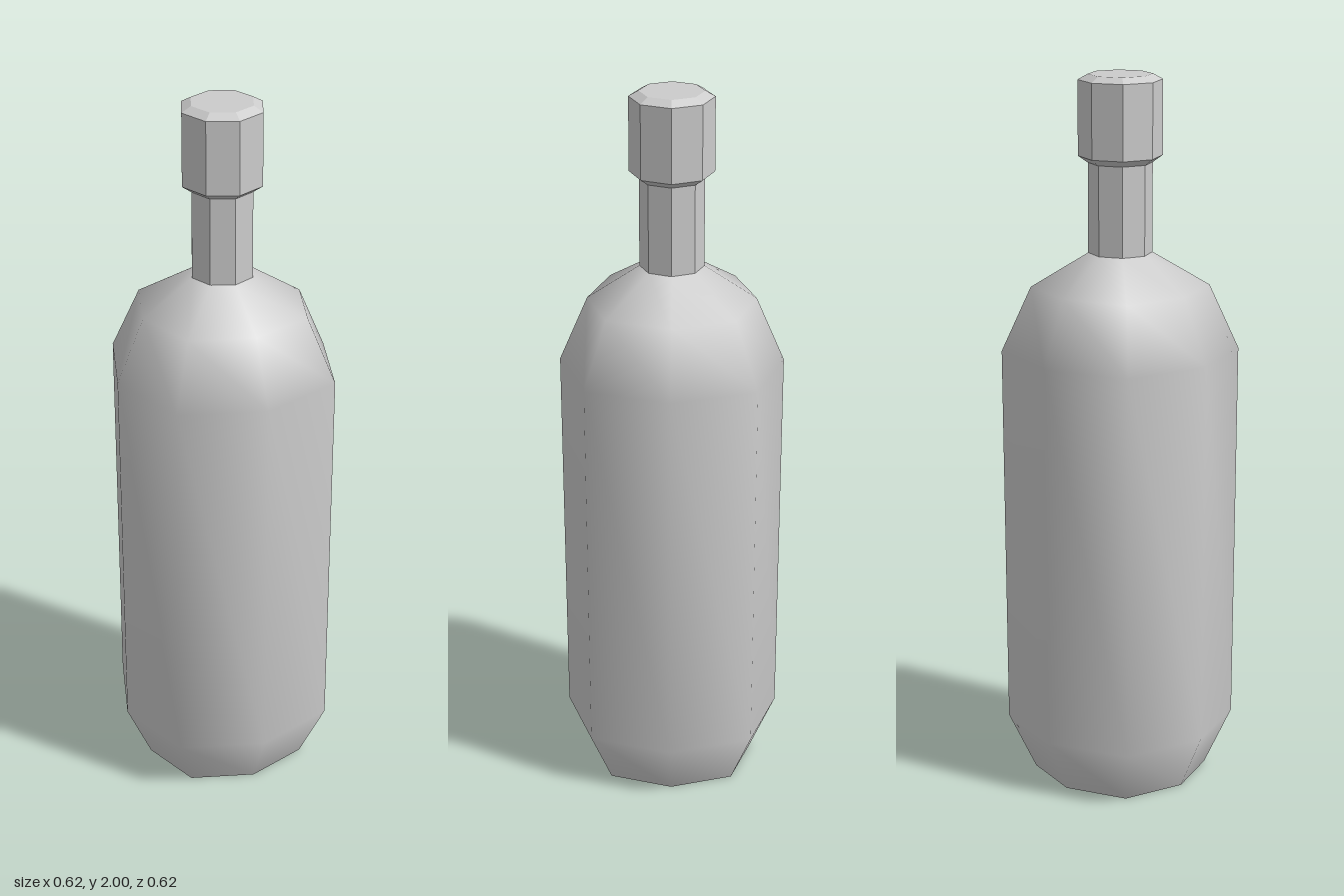
import * as THREE from 'three';
import { mergeVertices } from 'three/addons/utils/BufferGeometryUtils.js';

const SIDES = 8;

// Eight-sided turned form from [radius, height] pairs, corners on the x and z axes
function turned(profile) {
  const points = profile.map(([r, y]) => new THREE.Vector2(r, y));
  return new THREE.LatheGeometry(points, SIDES);
}

// Push the diagonal corners out a little for a slightly squarer section
function squareUp(geometry, amount) {
  const p = geometry.attributes.position;
  for (let i = 0; i < p.count; i++) {
    const x = p.getX(i), z = p.getZ(i), r = Math.hypot(x, z);
    if (r < 0.1) continue;
    const k = 1 + amount * Math.abs(2 * x * z) / (r * r);
    p.setX(i, x * k);
    p.setZ(i, z * k);
  }
  return geometry;
}

// Weld the seam and average the normals
function smooth(geometry) {
  geometry.deleteAttribute('normal');
  geometry.deleteAttribute('uv');
  const welded = mergeVertices(geometry);
  welded.computeVertexNormals();
  return welded;
}

export function createModel() {
  const group = new THREE.Group();
  const smoothMat = new THREE.MeshStandardMaterial({ color: 0xcccccc });
  const flatMat = new THREE.MeshStandardMaterial({ color: 0xcccccc, flatShading: true });

  function add(name, geometry, material) {
    const mesh = new THREE.Mesh(geometry, material);
    mesh.name = name;
    group.add(mesh);
  }

  // Smooth body with chamfered foot and sloping shoulders
  add('body', smooth(squareUp(turned([
    [0.23, 0], [0.302, 0.16], [0.308, 1.24], [0.231, 1.42], [0.086, 1.515],
  ]), 0.065)), smoothMat);

  // Flat underside
  add('base', squareUp(turned([[0, 0], [0.23, 0]]), 0.065), flatMat);

  // Faceted neck
  add('neck', turned([[0.088, 1.51], [0.088, 1.78]]), flatMat);

  // Faceted cap with bevelled rims
  add('cap', turned([
    [0, 1.762], [0.09, 1.762], [0.115, 1.78], [0.115, 1.985], [0.088, 2], [0, 2],
  ]), flatMat);

  return group;
}
